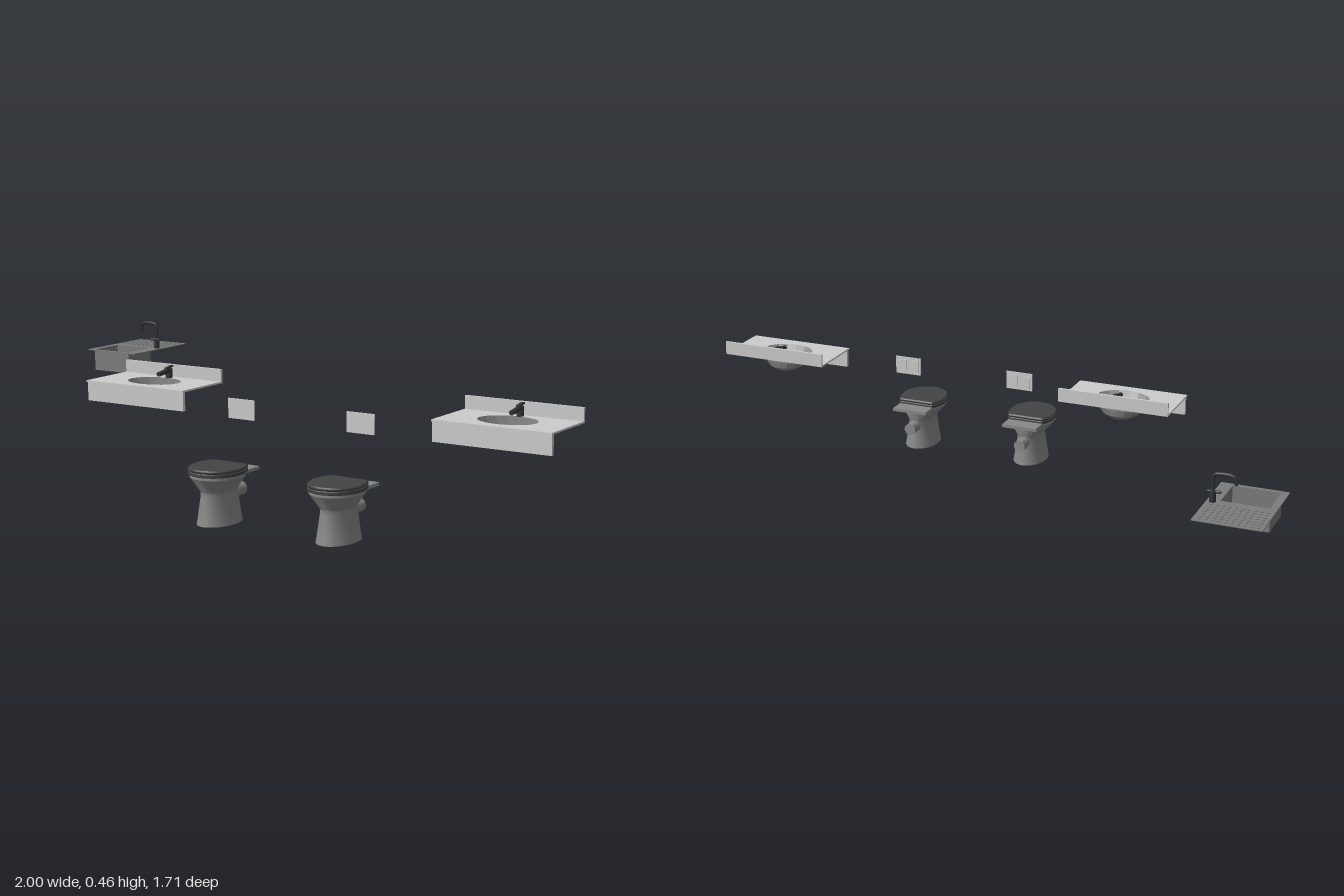
import * as THREE from 'three';
import { toCreasedNormals } from 'three/addons/utils/BufferGeometryUtils.js';

const TURN = -THREE.MathUtils.degToRad(19);
const material = color => new THREE.MeshStandardMaterial({ color, side: THREE.DoubleSide });
const stone = material(0xcccccc);
const ceramic = material(0x888888);
const steel = material(0x7c7c7c);
const darkPlastic = material(0x444444);
const darkMetal = material(0x333333);

function add(parent, name, mat, geometry) {
  const mesh = new THREE.Mesh(geometry, mat);
  mesh.name = name;
  parent.add(mesh);
  return mesh;
}

// Box given by its centre in x and z and its bottom and top heights
function box(parent, name, mat, w, d, y0, y1, x = 0, z = 0) {
  const mesh = add(parent, name, mat, new THREE.BoxGeometry(w, y1 - y0, d));
  mesh.position.set(x, (y0 + y1) / 2, z);
  return mesh;
}

function rod(parent, name, mat, r0, r1, length, x, y, z) {
  const mesh = add(parent, name, mat, toCreasedNormals(new THREE.CylinderGeometry(r1, r0, length, 14), 0.7));
  mesh.position.set(x, y, z);
  return mesh;
}

function rectangle(Type, x0, x1, z0, z1) {
  return new Type([[x0, z0], [x1, z0], [x1, z1], [x0, z1]].map(p => new THREE.Vector2(...p)));
}

// Horizontal plate: shape y becomes z, extruded downwards from its top
function plate(parent, name, mat, shape, top, thickness, bevel = 0) {
  const geometry = new THREE.ExtrudeGeometry(shape, {
    depth: thickness - 2 * bevel, curveSegments: 16, bevelEnabled: bevel > 0,
    bevelThickness: bevel, bevelSize: bevel, bevelOffset: -bevel, bevelSegments: 1,
  }).rotateX(Math.PI / 2);
  const mesh = add(parent, name, mat, toCreasedNormals(geometry, 0.5));
  mesh.position.y = top - bevel;
}

// Stacked elliptical rings [halfWidth, halfDepth, centreZ, y], from bottom to top
function loft(rings, sides, crease) {
  const geometry = new THREE.LatheGeometry(rings.map(r => new THREE.Vector2(1, r[3])), sides);
  const p = geometry.attributes.position;
  for (let i = 0; i < p.count; i++) {
    const [a, b, c] = rings[i % rings.length];
    p.setX(i, p.getX(i) * a);
    p.setZ(i, p.getZ(i) * b + c);
  }
  return toCreasedNormals(geometry, crease);
}

// Counter with backsplash, front apron, sunken bowl and tap
function washbasin() {
  const g = new THREE.Group();
  g.name = 'washbasin';
  const a = 0.097, b = 0.074, sides = 16, top = 0.379;
  const counter = rectangle(THREE.Shape, -0.2, 0.2, -0.112, 0.113);
  const rim = [];
  for (let i = 0; i < sides; i++) {
    const t = i / sides * Math.PI * 2;
    rim.push(new THREE.Vector2(a * Math.sin(t), b * Math.cos(t)));
  }
  counter.holes.push(new THREE.Path(rim));
  plate(g, 'counter', stone, counter, top, 0.006);
  box(g, 'backsplash', stone, 0.4, 0.009, 0.374, 0.421, 0, -0.1075);
  box(g, 'frontApron', stone, 0.396, 0.012, 0.31, 0.374, 0, 0.102);

  // The bowl is deepest towards the back
  add(g, 'bowl', ceramic, loft([
    [0, 0, -0.028, 0.314], [0.035, 0.026, -0.028, 0.316], [0.064, 0.047, -0.02, 0.329],
    [0.085, 0.063, -0.01, 0.351], [a, b, 0, top],
  ], sides, 0.2));
  rod(g, 'drain', darkMetal, 0.009, 0.009, 0.003, 0, 0.317, -0.028);

  rod(g, 'tapBody', darkMetal, 0.012, 0.011, 0.032, 0, 0.394, -0.082);
  const spout = rod(g, 'tapSpout', darkMetal, 0.009, 0.008, 0.06, 0, 0.401, -0.052);
  spout.rotation.x = Math.PI / 2 + 0.12;
  const lever = box(g, 'tapLever', darkMetal, 0.012, 0.036, 0.412, 0.417, 0, -0.082);
  lever.rotation.x = 0.15;
  return g;
}

// Pedestal toilet; its back edge lies on local z = 0
function toilet() {
  const g = new THREE.Group();
  g.name = 'toilet';
  add(g, 'bowlAndPedestal', ceramic, loft([
    [0, 0, 0.126, 0], [0.061, 0.092, 0.126, 0], [0.056, 0.087, 0.126, 0.03],
    [0.046, 0.079, 0.126, 0.095], [0.047, 0.08, 0.126, 0.107],
    [0.085, 0.097, 0.135, 0.152], [0.085, 0.097, 0.135, 0.163], [0, 0, 0.135, 0.163],
  ], 24, 0.45));
  box(g, 'rearLedge', ceramic, 0.134, 0.1, 0.154, 0.165, 0, 0.05);
  const pipe = rod(g, 'wastePipe', ceramic, 0.022, 0.022, 0.085, 0, 0.087, 0.046);
  pipe.rotation.x = Math.PI / 2;

  // Rounded outline with a straight hinge edge
  const outline = new THREE.Shape();
  outline.moveTo(-0.066, 0.062);
  outline.lineTo(0.066, 0.062);
  outline.bezierCurveTo(0.08, 0.085, 0.087, 0.11, 0.087, 0.138);
  outline.bezierCurveTo(0.085, 0.196, 0.05, 0.235, 0, 0.236);
  outline.bezierCurveTo(-0.05, 0.235, -0.085, 0.196, -0.087, 0.138);
  outline.bezierCurveTo(-0.087, 0.11, -0.08, 0.085, -0.066, 0.062);
  plate(g, 'seat', darkPlastic, outline, 0.173, 0.012, 0.002);
  plate(g, 'lid', darkPlastic, outline, 0.184, 0.011, 0.004);

  // Flush plate on the wall line, with two buttons
  box(g, 'flushPlate', stone, 0.1, 0.005, 0.31, 0.375, 0, 0.001);
  for (const s of [-1, 1]) box(g, 'flushButton', stone, 0.036, 0.004, 0.32, 0.365, s * 0.023, -0.0035);
  return g;
}

// Sink plate with box basin, drainboard and gooseneck tap
function kitchenSink() {
  const g = new THREE.Group();
  g.name = 'kitchenSink';
  const x0 = -0.088, x1 = 0.072, z0 = 0.013, z1 = 0.151, top = 0.356, bottom = 0.277, t = 0.002;
  const sheet = rectangle(THREE.Shape, -0.11, 0.112, -0.161, 0.164);
  sheet.holes.push(rectangle(THREE.Path, x0 + t, x1 - t, z0 + t, z1 - t));
  plate(g, 'sinkPlate', steel, sheet, top, 0.003);

  const cx = (x0 + x1) / 2, cz = (z0 + z1) / 2;
  box(g, 'basinFloor', steel, x1 - x0, z1 - z0, bottom, bottom + t, cx, cz);
  for (const x of [x0 + t / 2, x1 - t / 2]) box(g, 'basinSide', steel, t, z1 - z0, bottom, top - 0.001, x, cz);
  for (const z of [z0 + t / 2, z1 - t / 2]) box(g, 'basinEnd', steel, x1 - x0, t, bottom, top - 0.001, cx, z);
  rod(g, 'drain', steel, 0.012, 0.012, 0.002, cx, bottom + t + 0.001, cz);

  // Low diamond studs over the drainboard
  for (let i = 0; i < 10; i++) {
    for (let j = 0; j < 7; j++) {
      const stud = box(g, 'drainStud', steel, 0.01, 0.01, top - 0.001, top + 0.002, -0.09 + i * 0.02, -0.143 + j * 0.02);
      stud.rotation.y = Math.PI / 4;
    }
  }

  const tx = 0.092;
  rod(g, 'tapBody', darkMetal, 0.011, 0.01, 0.036, tx, top + 0.018, 0);
  const lever = rod(g, 'tapLever', darkMetal, 0.005, 0.005, 0.042, tx - 0.004, 0.389, 0.002);
  lever.rotation.z = Math.PI / 2;
  const path = new THREE.CatmullRomCurve3([
    [tx, 0.385], [tx, 0.42], [tx, 0.436], [tx - 0.006, 0.447], [tx - 0.018, 0.45],
    [tx - 0.052, 0.45], [tx - 0.066, 0.445], [tx - 0.072, 0.434], [tx - 0.073, 0.42],
  ].map(([x, y]) => new THREE.Vector3(x, y, 0)));
  add(g, 'tapSpout', darkMetal, new THREE.TubeGeometry(path, 32, 0.0055, 8));
  return g;
}

export function createModel() {
  const model = new THREE.Group();
  model.name = 'sanitaryFixtures';
  const place = (fixture, x, z) => {
    fixture.position.set(x, 0, z);
    fixture.rotation.y = TURN;
    model.add(fixture);
  };
  place(washbasin(), -0.479, 0.228);
  place(washbasin(), 0.774, 0.666);
  place(toilet(), -0.104, 0.481);
  place(toilet(), 0.316, 0.626);
  place(kitchenSink(), -0.842, -0.668);
  return model;
}
